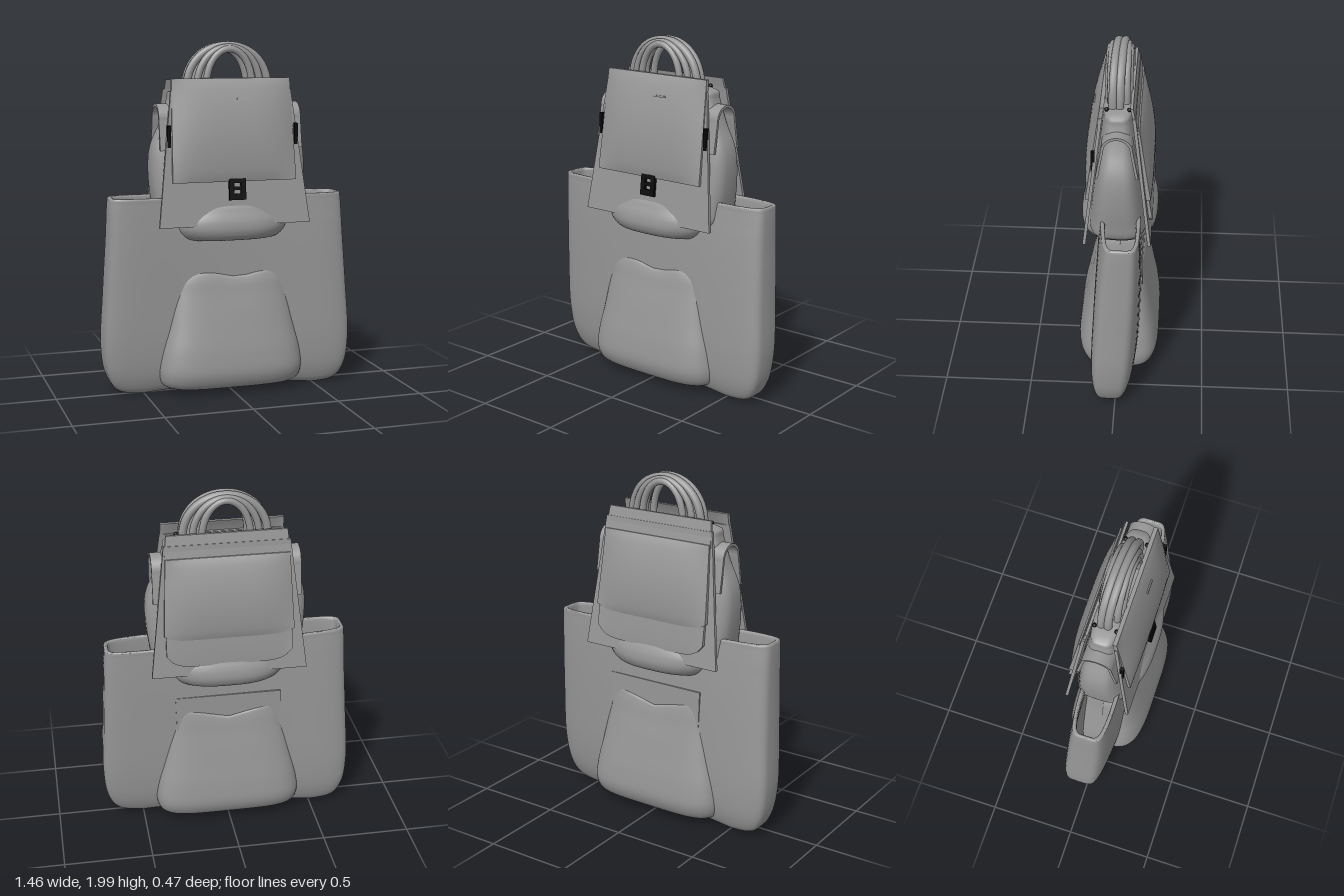
import * as THREE from 'three';
import { toCreasedNormals } from 'three/addons/utils/BufferGeometryUtils.js';

const grey = new THREE.MeshStandardMaterial({ color: 0x969696, side: THREE.DoubleSide });
const black = new THREE.MeshStandardMaterial({ color: 0x0a0a0a });

function add(group, name, geometry, material = grey) {
  const mesh = new THREE.Mesh(geometry, material);
  mesh.name = name;
  group.add(mesh);
  return mesh;
}

function warp(geometry, rule) {
  const p = geometry.attributes.position;
  const v = new THREE.Vector3();
  for (let i = 0; i < p.count; i++) {
    rule(v.fromBufferAttribute(p, i));
    p.setXYZ(i, v.x, v.y, v.z);
  }
  return toCreasedNormals(geometry, 0.7);
}

// Skin over rounded-rectangle rings given as [y, half width, half depth]
function loft(rows, power, steps = 40, rule = () => {}) {
  const path = new THREE.CatmullRomCurve3(rows.map(r => new THREE.Vector3(...r)), false, 'centripetal');
  const sides = 64, pos = [], index = [];
  const round = t => Math.sign(t) * Math.abs(t) ** (2 / power);
  for (let j = 0; j <= steps; j++) {
    const r = path.getPoint(j / steps);
    for (let i = 0; i <= sides; i++) {
      const a = (i % sides) / sides * Math.PI * 2;
      pos.push(r.y * round(Math.cos(a)), r.x, r.z * round(Math.sin(a)));
    }
  }
  const w = sides + 1;
  for (let j = 0; j < steps; j++) for (let i = 0; i < sides; i++) {
    const a = j * w + i, b = a + w;
    index.push(a, b, a + 1, b, b + 1, a + 1);
  }
  const g = new THREE.BufferGeometry();
  g.setAttribute('position', new THREE.Float32BufferAttribute(pos, 3));
  g.setIndex(index);
  return warp(g, rule);
}

// Thin tapered sheet leaning from (y0, z0) to (y1, z1), with a soft bulge
function panel(y0, y1, w0, w1, z0, z1, thick, bulge = 0, corner = 0) {
  const g = new THREE.BoxGeometry(2, 1, thick, 24, 20, 1);
  return warp(g, v => {
    const u = v.x, t = v.y + 0.5;
    const lift = bulge * (1 - u ** 4) * Math.sin(Math.PI * t) ** 0.7;
    v.x = u * THREE.MathUtils.lerp(w0, w1, t);
    v.y = THREE.MathUtils.lerp(y0, y1, t) + corner * Math.abs(u) ** 8 * (1 - t) ** 2;
    v.z += THREE.MathUtils.lerp(z0, z1, t) + lift;
  });
}

export function createModel() {
  const bag = new THREE.Group();
  bag.name = 'bag';

  // Open tote: outer wall, rim, then the inner wall down to its floor
  const tote = [
    [0.03, 0, 0], [0.015, 0.45, 0.045], [0.01, 0.59, 0.065], [0.04, 0.66, 0.09], [0.12, 0.705, 0.115],
    [0.28, 0.727, 0.13], [0.6, 0.715, 0.13], [0.9, 0.7, 0.122], [1.1, 0.692, 0.11],
    [1.13, 0.687, 0.107], [1.13, 0.67, 0.09], [1.09, 0.665, 0.085],
    [0.6, 0.67, 0.1], [0.12, 0.62, 0.08], [0.1, 0, 0]
  ];
  add(bag, 'tote', loft(tote, 5.5, 110, v => {
    v.z += v.x * THREE.MathUtils.lerp(0.06, -0.04, v.y / 1.13) - 0.005;
    v.y += 0.03 * Math.max(0, 1 - v.y * 5) * Math.max(0, 1 - (v.x / 0.5) ** 2);
    if (v.y > 1) v.y -= 0.012 * v.x;
  }));

  // Bulging pockets on the front and back of the tote, flat on the inner side
  const pocketFoot = [
    [0.04, 0, 0], [0.04, 0.34, 0.17], [0.065, 0.405, 0.21], [0.13, 0.425, 0.235], [0.24, 0.415, 0.228]
  ];
  const frontRows = [[0.4, 0.38, 0.198], [0.58, 0.35, 0.16], [0.67, 0.33, 0.142], [0.71, 0.29, 0.125], [0.73, 0, 0]];
  const backRows = [[0.4, 0.38, 0.2], [0.58, 0.345, 0.168], [0.69, 0.33, 0.152], [0.725, 0.32, 0.142], [0.735, 0.3, 0.12], [0.735, 0, 0]];
  add(bag, 'frontTotePocket', loft([...pocketFoot, ...frontRows], 3.8, 60, v => {
    v.z = Math.max(v.z, 0);
    if (v.y > 0.5) v.y -= 0.16 * (v.y - 0.5) * Math.exp(-(((v.x - 0.03) / 0.12) ** 2));
  }));
  add(bag, 'backTotePocket', loft([...pocketFoot, ...backRows], 4.5, 60, v => {
    v.z = Math.min(v.z, 0);
    if (v.y > 0.5) v.y -= 0.25 * (v.y - 0.5) * Math.max(0, 1 - Math.abs(v.x) / 0.25);
  }));
  add(bag, 'backPocketStrip', panel(0.6, 0.81, 0.3, 0.305, -0.133, -0.13, 0.014));

  // Upper bag: rounded base and full body
  const base = [
    [0.888, 0, 0], [0.888, 0.23, 0.15], [0.905, 0.295, 0.195], [0.95, 0.335, 0.216],
    [1.0, 0.345, 0.212], [1.05, 0.32, 0.192], [1.1, 0.28, 0.165], [1.15, 0, 0]
  ];
  add(bag, 'upperBase', loft(base, 2.7));
  const body = [
    [0.985, 0, 0], [0.99, 0.4, 0.165], [1.1, 0.432, 0.155], [1.3, 0.452, 0.132],
    [1.42, 0.44, 0.117], [1.55, 0.385, 0.1], [1.68, 0.345, 0.085], [1.72, 0.335, 0.08], [1.725, 0, 0]
  ];
  add(bag, 'upperBody', loft(body, 3.8));

  // Sloping front and back panels
  for (const s of [1, -1]) {
    add(bag, s > 0 ? 'frontPanel' : 'backPanel', panel(0.98, 1.73, 0.44, 0.35, s * 0.178, s * 0.088, 0.018));
  }

  // Front flap, and the back pocket with its flap and upright edge
  add(bag, 'frontFlap', panel(1.225, 1.795, 0.36, 0.345, 0.163, 0.08, 0.022, 0.04));
  add(bag, 'flapWelt', panel(1.678, 1.686, 0.04, 0.04, 0.135, 0.132, 0.016)).position.x = 0.06;
  add(bag, 'backPocket', panel(1.04, 1.4, 0.355, 0.355, -0.18, -0.14, 0.024, -0.008, 0.07));
  add(bag, 'backFlap', panel(1.2, 1.66, 0.365, 0.345, -0.17, -0.105, 0.024, -0.035, 0.03));
  add(bag, 'backEdge', panel(1.64, 1.785, 0.35, 0.335, -0.106, -0.075, 0.015));

  // Strap loops arching over both sides
  const arch = new THREE.Shape();
  arch.moveTo(-0.115, 1.4);
  arch.lineTo(-0.085, 1.57);
  arch.absarc(0, 1.57, 0.085, Math.PI, 0, true);
  arch.lineTo(0.115, 1.4);
  arch.lineTo(0.1, 1.4);
  arch.lineTo(0.07, 1.57);
  arch.absarc(0, 1.57, 0.07, 0, Math.PI, false);
  arch.lineTo(-0.1, 1.4);
  arch.closePath();
  const archGeo = new THREE.ExtrudeGeometry(arch, { depth: 0.1, bevelEnabled: false, curveSegments: 16 });
  archGeo.rotateY(Math.PI / 2);
  for (const s of [1, -1]) {
    const loop = add(bag, s > 0 ? 'leftStrapLoop' : 'rightStrapLoop', archGeo);
    loop.position.x = s > 0 ? 0.315 : -0.415;
    // Side clips
    add(bag, 'sideClip', new THREE.BoxGeometry(0.02, 0.12, 0.022), black).position.set(s * 0.37, 1.48, 0.128);
  }

  // Nested rolled handles, the widest in the middle
  const handles = new THREE.Group();
  handles.name = 'handles';
  bag.add(handles);
  const handle = (half, top, z, radius, lean = 0) => {
    const points = [];
    for (let i = 0; i <= 16; i++) {
      const a = Math.PI * i / 16;
      points.push(new THREE.Vector3(half * Math.cos(a), 1.72 + (top - 1.72) * Math.sin(a) ** 0.85, z + lean * Math.cos(a)));
    }
    add(handles, 'handle', new THREE.TubeGeometry(new THREE.CatmullRomCurve3(points), 48, radius, 10));
  };
  for (const s of [1, -1]) {
    handle(0.135, 1.955, s * 0.054, 0.02);
    handle(0.185, 1.965, s * 0.042, 0.02);
    handle(0.235, 1.975, s * 0.018, 0.023, 0.01);
    for (const x of [-0.25, 0.26]) {
      add(handles, 'handleStud', new THREE.SphereGeometry(0.012, 12, 8), black).position.set(x, 1.735, s * 0.06);
    }
  }

  // Clasp: a plate with two slots
  const plate = new THREE.Shape();
  plate.moveTo(-0.048, -0.06);
  plate.lineTo(0.048, -0.06);
  plate.lineTo(0.048, 0.06);
  plate.lineTo(-0.048, 0.06);
  plate.closePath();
  for (const y of [-0.015, 0.025]) {
    const slot = new THREE.Path();
    slot.moveTo(-0.02, y - 0.01);
    slot.lineTo(-0.02, y + 0.01);
    slot.lineTo(0.02, y + 0.01);
    slot.lineTo(0.02, y - 0.01);
    plate.holes.push(slot);
  }
  const clasp = add(bag, 'clasp', new THREE.ExtrudeGeometry(plate, { depth: 0.018, bevelEnabled: false }), black);
  clasp.position.set(0.01, 1.18, 0.168);
  clasp.rotation.x = -0.12;

  return bag;
}
